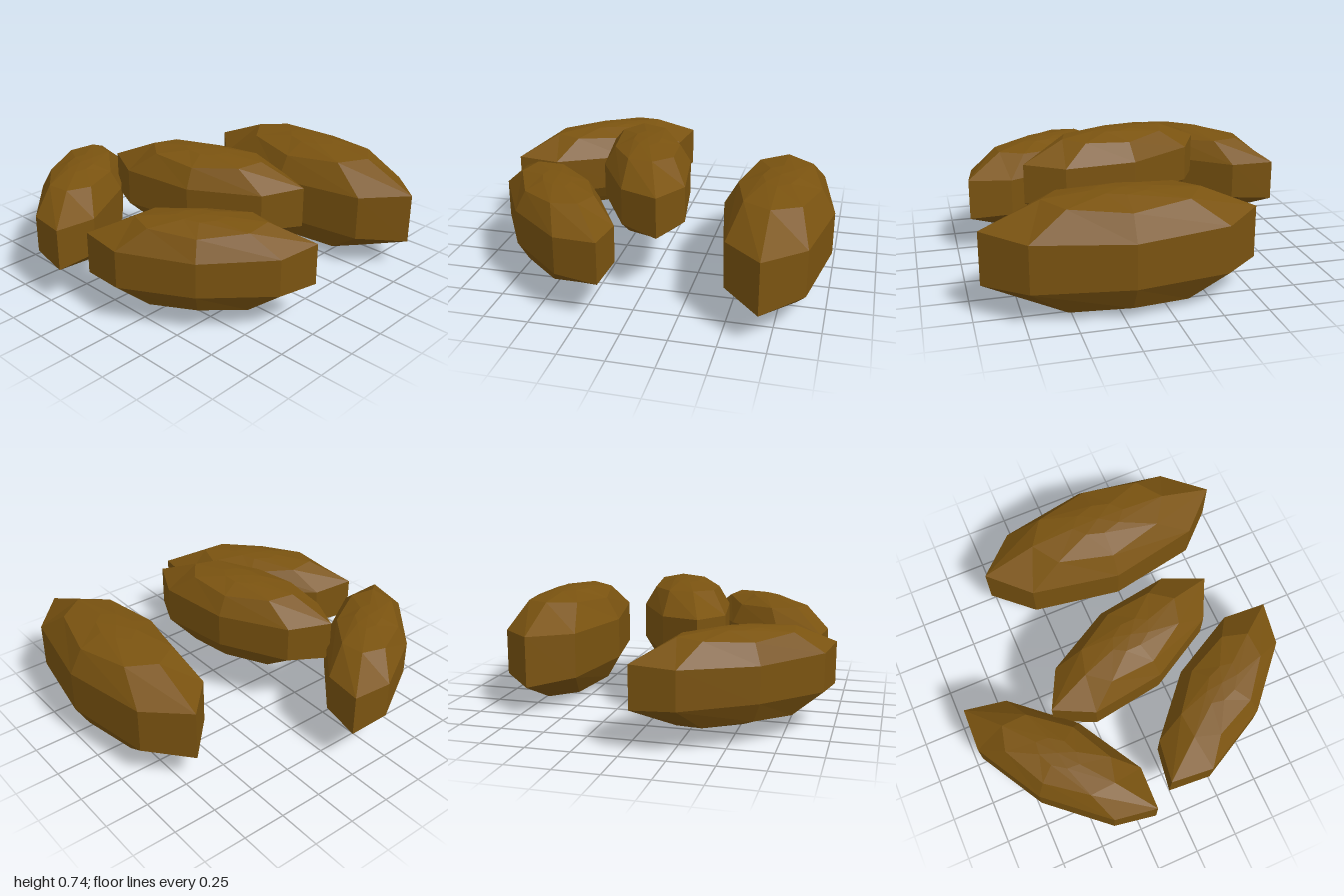
import * as THREE from 'three';

const bark = new THREE.MeshStandardMaterial({ color: 0x7a5310 });
bark.name = 'dark golden brown';

// Upper half of a unit seed: eight-sided rings given as [end, corner, side] -> [along, across, height]
const RINGS = [
  [[1, 0, 0.46], [0.7, 0.69, 0.41], [0, 1, 0.38]],
  [[0.57, 0, 0.9], [0.43, 0.5, 0.87], [0, 0.75, 0.8]],
  [[0.22, 0, 0.98], [0.14, 0.22, 0.98], [0, 0.32, 0.97]],
];

// Mirrors the three ring points into a full loop of eight
function loop([end, corner, side], up) {
  const signs = [
    [end, 1, 1], [corner, 1, 1], [side, 1, 1], [corner, -1, 1],
    [end, -1, 1], [corner, -1, -1], [side, 1, -1], [corner, 1, -1],
  ];
  return signs.map(([p, sx, sz]) => [p[0] * sx, p[2] * up, p[1] * sz]);
}

// Faceted seed with a vertical belt and a domed top and bottom
function seedGeometry() {
  const loops = [
    ...[...RINGS].reverse().map((r) => loop(r, -1)),
    ...RINGS.map((r) => loop(r, 1)),
  ];
  const positions = [0, -1, 0, ...loops.flat(2), 0, 1, 0];
  const top = loops.length * 8 + 1;
  const at = (ring, j) => 1 + ring * 8 + (j % 8);
  const index = [];
  for (let j = 0; j < 8; j++) {
    index.push(0, at(0, j), at(0, j + 1));
    for (let r = 0; r < loops.length - 1; r++) {
      const a = at(r, j), b = at(r, j + 1), c = at(r + 1, j + 1), d = at(r + 1, j);
      index.push(a, d, c, a, c, b);
    }
    index.push(top, at(loops.length - 1, j + 1), at(loops.length - 1, j));
  }
  const geometry = new THREE.BufferGeometry();
  geometry.setAttribute('position', new THREE.Float32BufferAttribute(positions, 3));
  geometry.setIndex(index);
  return geometry;
}

export function createModel() {
  const group = new THREE.Group();
  group.name = 'seedPile';
  // name, centre, half sizes (along, height, across), heading
  const seeds = [
    ['backSeed', [0.21, 0.318, -0.693], [0.74, 0.318, 0.307], 0],
    ['middleSeed', [0.07, 0.49, 0.093], [0.59, 0.25, 0.25], 0.327],
    ['rightSeed', [-0.55, 0.342, 0.515], [0.615, 0.257, 0.235], -0.883],
    ['leftSeed', [0.445, 0.342, 0.515], [0.605, 0.257, 0.245], 0.668],
  ];
  for (const [name, centre, size, heading] of seeds) {
    // Scale before computing normals so every facet stays flat
    const geometry = seedGeometry().scale(...size).toNonIndexed();
    geometry.computeVertexNormals();
    const seed = new THREE.Mesh(geometry, bark);
    seed.name = name;
    seed.position.set(...centre);
    seed.rotation.y = heading;
    group.add(seed);
  }
  return group;
}
